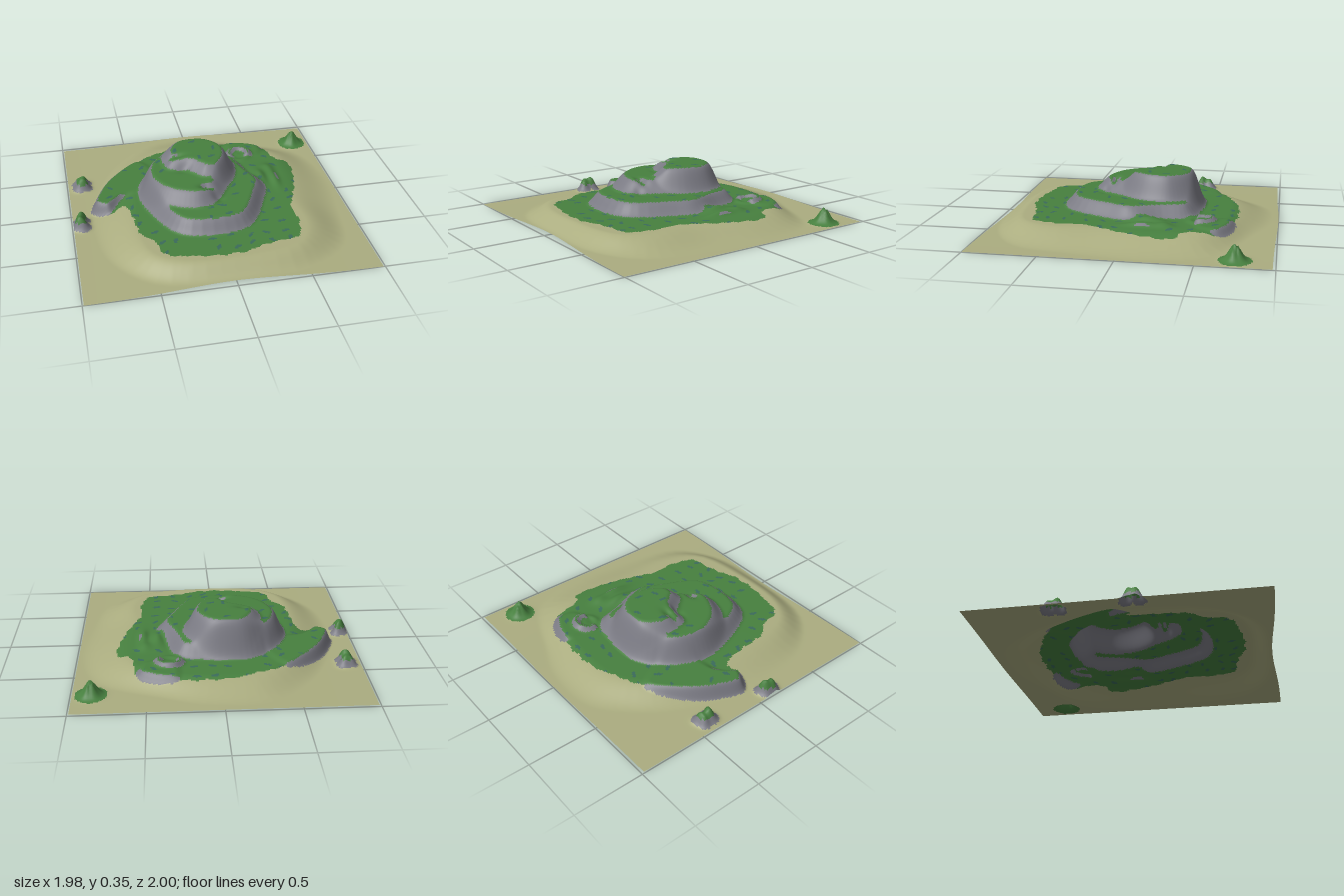
import * as THREE from 'three';

const N = 190; // grid cells per side

// closed smooth outline from x,z pairs
function outline(a, samples = 64) {
  const p = [];
  for (let i = 0; i < a.length; i += 2) p.push(new THREE.Vector3(a[i], 0, a[i + 1]));
  return new THREE.CatmullRomCurve3(p, true, 'centripetal').getPoints(samples);
}
// signed distance to an outline, positive inside
function inside(poly, x, z) {
  let best = 1e9, odd = false;
  for (let i = 1; i < poly.length; i++) {
    const a = poly[i - 1], b = poly[i];
    const ex = b.x - a.x, ez = b.z - a.z, px = x - a.x, pz = z - a.z;
    const t = Math.min(1, Math.max(0, (px * ex + pz * ez) / (ex * ex + ez * ez + 1e-12)));
    best = Math.min(best, (px - ex * t) ** 2 + (pz - ez * t) ** 2);
    if ((a.z > z) !== (b.z > z) && x < a.x + (ex * (z - a.z)) / ez) odd = !odd;
  }
  return Math.sqrt(best) * (odd ? 1 : -1);
}
const smooth = (d, w) => THREE.MathUtils.smoothstep(d, 0, w);
const bump = (x, z, cx, cz, rx, rz) => Math.exp(-(((x - cx) / rx) ** 2) - ((z - cz) / rz) ** 2);
const hash = (i, j) => {
  const s = Math.sin(i * 127.1 + j * 311.7) * 43758.5453;
  return s - Math.floor(s);
};

// beach foot and beach plateau
const beachFoot = outline([-.78, .6, -.5, .9, 0, .96, .5, .93, .82, .72, .92, .3, .97, -.2, .84, -.6, .4, -.82,
  .1, -.94, -.3, -.93, -.55, -.72, -.7, -.5, -.84, -.1, -.86, .2]);
const beachTop = outline([0, -.66, .4, -.6, .58, -.45, .6, -.2, .57, .2, .6, .5, .5, .72, .1, .8, -.3, .78,
  -.5, .65, -.55, .3, -.5, -.1, -.5, -.35, -.3, -.6]);
const grassEdge = outline([0, -.72, .3, -.7, .56, -.61, .61, -.4, .71, -.32, .69, -.1, .63, .1, .55, .32, .56, .45,
  .5, .66, .3, .7, .08, .77, -.23, .75, -.42, .69, -.47, .53, -.55, .42, -.58, .19, -.62, .03, -.71, .06,
  -.84, 0, -.79, -.19, -.66, -.39, -.44, -.55, -.23, -.66], 120);
// raised banks: west arm and north shelf
const banks = [
  outline([-.44, -.57, -.66, -.41, -.8, -.2, -.85, 0, -.72, .07, -.6, -.05, -.45, -.1, -.3, -.3]),
  outline([.27, -.7, .4, -.71, .57, -.61, .52, -.45, .3, -.45]),
];
// mesa terraces: foot outline, slope width, rise
const terraces = [
  [[-.23, -.46, .03, -.48, .3, -.42, .38, -.2, .45, .03, .4, .18, .19, .52, -.27, .52, -.45, .24, -.51, -.03,
    -.45, -.26], .11, .092],
  [[-.23, -.46, .03, -.48, .16, -.41, .26, -.25, .24, -.05, .1, .2, .04, .3, -.1, .36, -.3, .3, -.43, .18,
    -.51, -.03, -.45, -.26], .13, .095],
  [[-.2, -.43, 0, -.46, .14, -.4, .24, -.25, .23, -.05, .1, .11, -.05, .11, -.14, .02, -.3, -.06, -.32, -.25],
    .12, .075],
].map(([a, w, h]) => [outline(a), w, h]);
// small mounds and hollows: x, z, radius x, radius z, height
const mounds = [
  [.43, -.12, .05, .12, .04], [.53, -.1, .035, .12, .03], [.51, -.25, .05, .06, .02],
  [-.2, -.14, .06, .03, -.025], [-.16, -.04, .05, .03, -.02], [-.04, .19, .05, .03, -.035], [.02, .25, .04, .03, -.02],
];
// outcrop peaks: x, z, radius, height
const peaks = [
  [-.87, -.43, .035, .07], [-.9, -.37, .04, .08], [-.86, -.36, .03, .05], [-.92, -.43, .028, .045],
  [-.94, .1, .038, .085], [-.92, .16, .035, .065], [-.96, .15, .03, .055], [-.91, .08, .03, .045],
];
const hill = [.865, -.745];

function height(x, z) {
  const edge = Math.exp(-((x / .5) ** 2));
  const foot = inside(beachFoot, x, z), top = inside(beachTop, x, z);
  const t = foot <= 0 ? 0 : top >= 0 ? 1 : foot / (foot - top);
  let y = .012 * edge;
  y += (.088 - y) * t * t * (3 - 2 * t);
  for (const b of banks) {
    const d = inside(b, x, z);
    if (d > 0) y = Math.max(y, y + (.1 - y) * smooth(d, .06));
  }
  for (const [poly, w, h] of terraces) y += h * smooth(inside(poly, x, z), w);
  for (const [cx, cz, rx, rz, h] of mounds) y += h * bump(x, z, cx, cz, rx, rz);
  // ring-shaped mound on the north shelf
  const ring = Math.hypot(x - .35, z + .48);
  y += .03 * Math.exp(-(((ring - .075) / .025) ** 2)) * (z < -.45 ? 1 : .4);
  // corner hill with fluted sides
  const hx = x - hill[0], hz = z - hill[1], hr = Math.hypot(hx, hz);
  y += .1 * Math.exp(-((hr / .055) ** 2)) * (1 + .12 * Math.sin(5 * Math.atan2(hz, hx)));
  for (const [cx, cz, r, h] of peaks) y += h * bump(x, z, cx, cz, r, r);
  return Math.max(0, y);
}

// scattered dark tufts on flat grass
function tuft(x, z) {
  const s = .125, i = Math.floor(x / s), j = Math.floor(z / s);
  const cx = (i + .3 + .4 * hash(i, j)) * s, cz = (j + .3 + .4 * hash(j + 9, i)) * s;
  const a = hash(i + 5, j + 3) * Math.PI, dx = x - cx, dz = z - cz;
  const u = dx * Math.cos(a) + dz * Math.sin(a), v = dz * Math.cos(a) - dx * Math.sin(a);
  return hash(i + 2, j + 7) > .3 && (u / .03) ** 2 + (v / .013) ** 2 < 1;
}

// which ground covers a point
function cover(x, y, z, slope) {
  const nearRock = peaks.some(([cx, cz, r]) => Math.hypot(x - cx, z - cz) < r * 1.6);
  if (nearRock) return y > .05 ? 'grass' : 'rock';
  if (Math.hypot(x - hill[0], z - hill[1]) < .108) return 'grass';
  const d = inside(grassEdge, x, z) + .008 * Math.sin(x * 47) * Math.cos(z * 53);
  if (slope > .62 && (d > -.03)) return 'rock';
  if (d < 0) return 'sand';
  return slope < .3 && tuft(x, z) ? 'tufts' : 'grass';
}

export function createModel() {
  const group = new THREE.Group();
  group.name = 'island';

  // height grid with gently bowed front and back edges
  const pos = [], all = [];
  for (let j = 0; j <= N; j++) for (let i = 0; i <= N; i++) {
    const x = -.99 + (1.98 * i) / N, z0 = -.98 + (1.98 * j) / N;
    const z = z0 - (.03 + .01 * z0) * Math.exp(-((x / .5) ** 2));
    pos.push(x, height(x, z), z);
  }
  const covers = { sand: [], grass: [], rock: [], tufts: [] };
  for (let j = 0; j < N; j++) for (let i = 0; i < N; i++) {
    const a = j * (N + 1) + i, b = a + 1, c = a + N + 1, d = c + 1;
    const [ya, yb, yc, yd] = [a, b, c, d].map((k) => pos[k * 3 + 1]);
    const cell = 1.98 / N;
    const slope = Math.hypot(yb + yd - ya - yc, yc + yd - ya - yb) / (2 * cell);
    const kind = cover(pos[a * 3] + cell / 2, (ya + yb + yc + yd) / 4, pos[a * 3 + 2] + cell / 2, slope);
    const quad = [a, c, b, b, c, d];
    covers[kind].push(...quad);
    all.push(...quad);
  }
  const ground = new THREE.BufferGeometry();
  ground.setAttribute('position', new THREE.Float32BufferAttribute(pos, 3));
  ground.setIndex(all);
  ground.computeVertexNormals();

  // one mesh per ground cover, sharing the same smooth surface
  const colors = { sand: 0xabad80, grass: 0x47803f, rock: 0x7b7b84, tufts: 0x3b6b5b };
  for (const kind in covers) {
    const geo = new THREE.BufferGeometry();
    geo.setAttribute('position', ground.attributes.position);
    geo.setAttribute('normal', ground.attributes.normal);
    geo.setIndex(covers[kind]);
    const mesh = new THREE.Mesh(geo, new THREE.MeshStandardMaterial({ color: colors[kind], side: THREE.DoubleSide }));
    mesh.name = kind;
    group.add(mesh);
  }
  return group;
}
